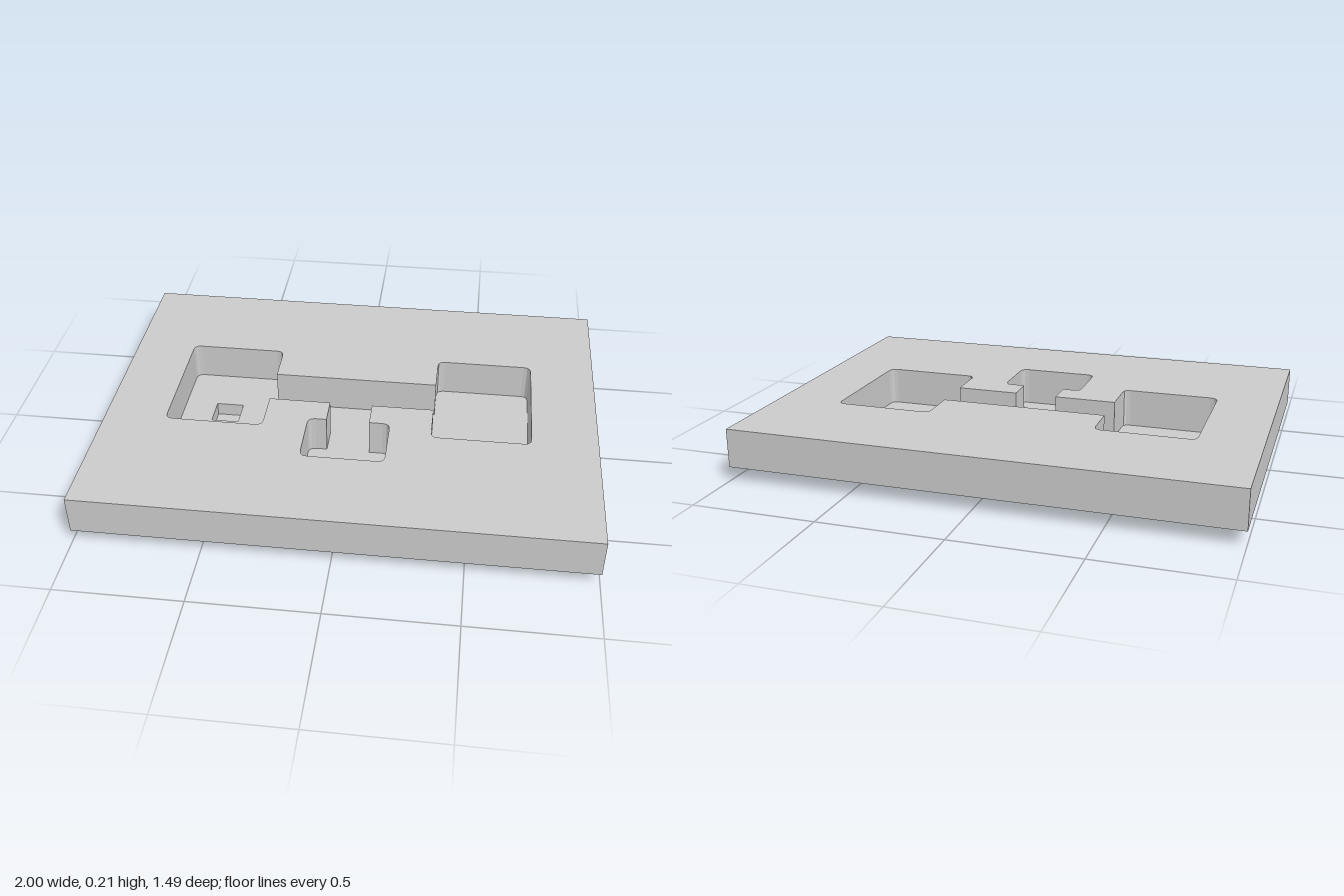
import * as THREE from 'three';

const TOP = 0.213, FLOOR = 0.057, R = 0.03;
const material = new THREE.MeshStandardMaterial({ color: 0xcccccc, flatShading: true, side: THREE.DoubleSide });

// Plan outlines are [x, -z, cornerRadius], counter-clockwise from above
function outline(corners) {
  const pts = corners.map(([x, y]) => new THREE.Vector2(x, y));
  const n = pts.length;
  return pts.flatMap((p, i) => {
    const r = corners[i][2];
    if (!r) return [p];
    const toward = (q) => q.clone().sub(p).setLength(r).add(p);
    const a = toward(pts[(i + n - 1) % n]), b = toward(pts[(i + 1) % n]);
    return new THREE.QuadraticBezierCurve(a, p, b).getPoints(3);
  });
}

const rect = (x0, x1, y0, y1) => outline([[x0, y0], [x1, y0], [x1, y1], [x0, y1]]);

// Horizontal sheet with an optional hole
function sheet(name, points, y, hole) {
  const shape = new THREE.Shape(points);
  if (hole) shape.holes.push(new THREE.Path(hole));
  const geometry = new THREE.ShapeGeometry(shape).rotateX(-Math.PI / 2).translate(0, y, 0);
  const mesh = new THREE.Mesh(geometry, material);
  mesh.name = name;
  return mesh;
}

// Vertical wall following a closed outline
function wall(name, points, y0, y1, inward = false) {
  const loop = inward ? [...points].reverse() : points;
  const position = [];
  loop.forEach((a, i) => {
    const b = loop[(i + 1) % loop.length];
    const a0 = [a.x, y0, -a.y], b0 = [b.x, y0, -b.y];
    const a1 = [a.x, y1, -a.y], b1 = [b.x, y1, -b.y];
    position.push(...a0, ...b0, ...b1, ...a0, ...b1, ...a1);
  });
  const geometry = new THREE.BufferGeometry();
  geometry.setAttribute('position', new THREE.Float32BufferAttribute(position, 3));
  geometry.computeVertexNormals();
  const mesh = new THREE.Mesh(geometry, material);
  mesh.name = name;
  return mesh;
}

export function createModel() {
  const model = new THREE.Group();
  model.name = 'recessedTray';

  const plate = rect(-1, 1, -0.745, 0.745);
  const socket = rect(-0.615, -0.5, -0.005, 0.112);
  // Two side bays, a joining channel and a front bay on a short neck
  const recess = outline([
    [-0.75, 0.32, R], [-0.75, -0.21, R], [-0.35, -0.21, R], [-0.35, -0.03],
    [-0.095, -0.03], [-0.095, -0.145], [-0.17, -0.145, R], [-0.17, -0.385, R],
    [0.165, -0.385, R], [0.165, -0.145, R], [0.08, -0.145], [0.08, -0.03],
    [0.335, -0.03], [0.335, -0.21, R], [0.735, -0.21, R], [0.735, 0.32, R],
    [0.335, 0.32, R], [0.335, 0.145], [-0.35, 0.145], [-0.35, 0.32, R],
  ]);

  // Open-bottomed shell
  model.add(sheet('topPlate', plate, TOP, recess));
  model.add(wall('outerWall', plate, FLOOR, TOP));

  // Sunken recess
  model.add(wall('recessWall', recess, FLOOR, TOP, true));
  model.add(sheet('recessFloor', recess, FLOOR, socket));

  // Small square socket below the recess floor
  model.add(wall('socketWall', socket, 0, FLOOR, true));
  model.add(sheet('socketFloor', socket, 0));
  return model;
}
